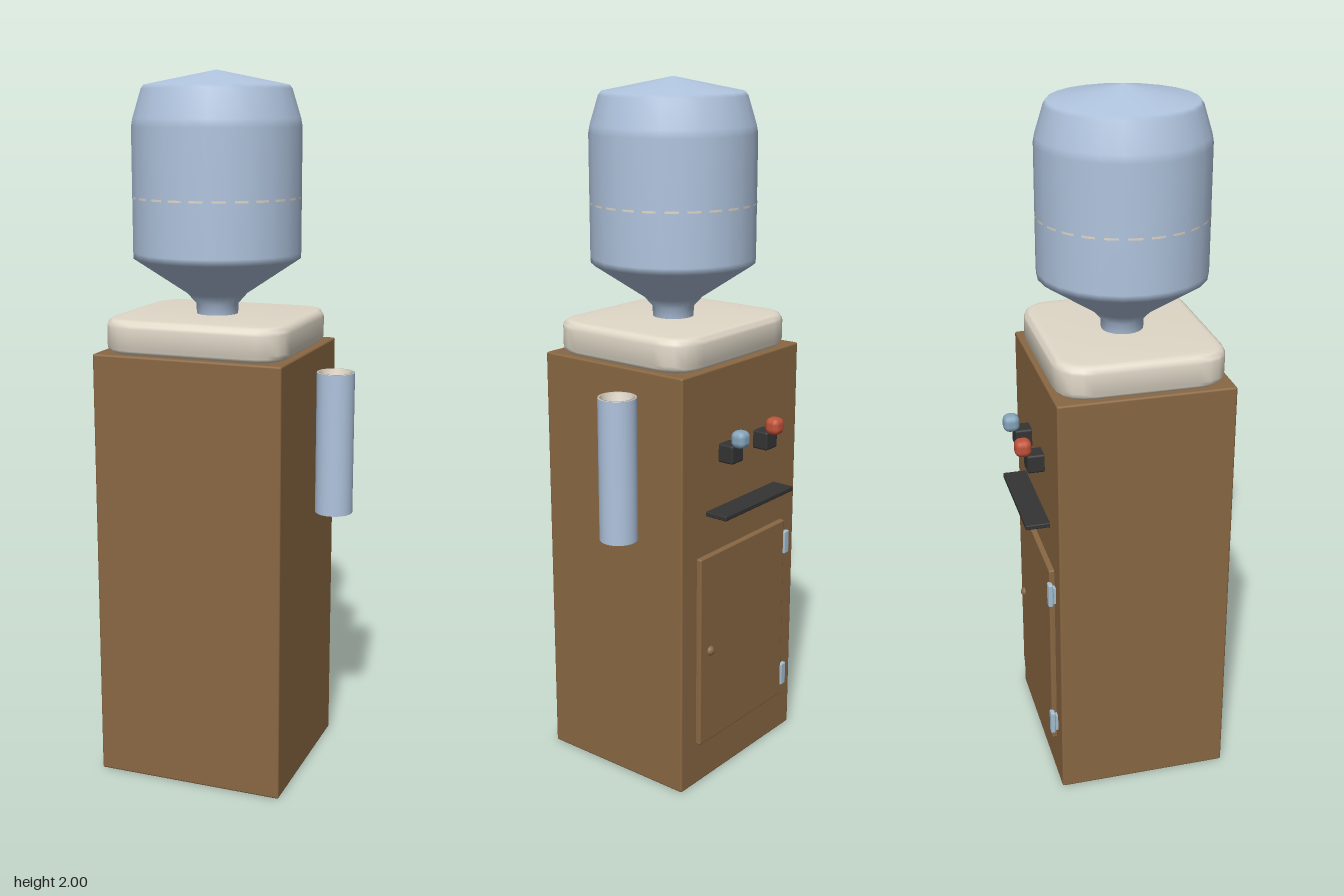
import * as THREE from 'three';
import { toCreasedNormals } from 'three/addons/utils/BufferGeometryUtils.js';
import { RoundedBoxGeometry } from 'three/addons/geometries/RoundedBoxGeometry.js';

const CX = -0.06, CZ = 0.038;      // centre of the cabinet
const BACK = -0.209;               // plane that carries the taps and door

export function createModel() {
  const root = new THREE.Group();
  const mat = (name, color, side = THREE.FrontSide) => {
    const m = new THREE.MeshStandardMaterial({ color, side });
    m.name = name;
    return m;
  };
  const wood = mat('wood brown', 0x8a6843);
  const cream = mat('cream plastic', 0xe0d8c8, THREE.DoubleSide);
  const water = mat('pale blue plastic', 0xb0c4de, THREE.DoubleSide);
  const dark = mat('dark plastic', 0x343434);
  const red = mat('hot red', 0xc0533a);
  const blue = mat('cold blue', 0x85a5bb);
  const steel = mat('hinge steel', 0xa6bfd0);

  const add = (name, geo, material, x, y, z) => {
    const mesh = new THREE.Mesh(geo, material);
    mesh.name = name;
    mesh.position.set(x, y, z);
    root.add(mesh);
    return mesh;
  };
  // smooth rounded block
  const block = (w, h, d, r) => new RoundedBoxGeometry(w, h, d, 2, r);
  const lathe = (pts, sides) =>
    new THREE.LatheGeometry(pts.map(([r, y]) => new THREE.Vector2(r, y)), sides);

  // Cabinet
  add('cabinet', block(0.548, 1.242, 0.494, 0.006), wood, CX, 0.621, CZ);

  // Lid: rounded rectangle with softened top and bottom edges
  const bevel = 0.022, hw = 0.264 - bevel, hd = 0.237 - bevel, r = 0.075;
  const outline = new THREE.Shape();
  outline.moveTo(-hw + r, -hd);
  outline.lineTo(hw - r, -hd);
  outline.quadraticCurveTo(hw, -hd, hw, -hd + r);
  outline.lineTo(hw, hd - r);
  outline.quadraticCurveTo(hw, hd, hw - r, hd);
  outline.lineTo(-hw + r, hd);
  outline.quadraticCurveTo(-hw, hd, -hw, hd - r);
  outline.lineTo(-hw, -hd + r);
  outline.quadraticCurveTo(-hw, -hd, -hw + r, -hd);
  const lid = new THREE.ExtrudeGeometry(outline, {
    depth: 0.096 - 2 * bevel, bevelEnabled: true, bevelSize: bevel,
    bevelThickness: bevel, bevelSegments: 4, curveSegments: 5,
  });
  lid.rotateX(-Math.PI / 2);
  add('lid', toCreasedNormals(lid, 0.9), cream, CX, 1.24 + bevel, CZ);

  // Upturned water bottle
  add('bottle', lathe([
    [0.058, 1.325], [0.06, 1.365], [0.085, 1.393], [0.234, 1.492], [0.235, 1.51],
    [0.235, 1.85], [0.231, 1.872], [0.207, 1.95], [0.2, 1.96], [0, 2.0],
  ], 24), water, CX, 0, CZ + 0.002);

  // Fine seam, turned half a side so it shows as short dashes
  const seam = add('bottleSeam',
    new THREE.CylinderGeometry(0.2355, 0.2355, 0.006, 24, 1, true), cream, CX, 1.66, CZ + 0.002);
  seam.rotation.y = Math.PI / 24;

  // Cup dispenser with nested cups
  const cupX = 0.27, cupZ = -0.03;
  add('cupTube', new THREE.CylinderGeometry(0.054, 0.054, 0.41, 28, 1, true),
    water, cupX, 0.97, cupZ);
  for (const y of [0.768, 0.92, 1.075]) {
    add('cup', lathe([
      [0, 0], [0.035, 0], [0.048, 0.095], [0.053, 0.096], [0.053, 0.1],
      [0.046, 0.1], [0.032, 0.008], [0, 0.008],
    ], 28), cream, cupX, y, cupZ);
  }

  // Hot and cold taps
  for (const [name, x, material] of [['hot', -0.142, red], ['cold', 0.023, blue]]) {
    add(name + 'TapBody', block(0.054, 0.054, 0.052, 0.006), dark, x, 0.997, BACK - 0.022);
    add(name + 'TapKnob', block(0.047, 0.05, 0.047, 0.018), material, x, 1.041, -0.264);
  }

  // Drip tray
  add('dripTray', block(0.33, 0.014, 0.072, 0.003), dark, CX, 0.832, BACK - 0.033);

  // Door with knob and two hinges
  add('door', block(0.412, 0.58, 0.02, 0.005), wood, CX, 0.42, BACK - 0.005);
  add('doorKnob', new THREE.SphereGeometry(0.015, 16, 12), wood, 0.1, 0.417, BACK - 0.012);
  for (const y of [0.197, 0.637]) {
    add('hinge', block(0.024, 0.072, 0.014, 0.004), steel, -0.272, y, BACK - 0.014);
    add('hingePlate', new THREE.BoxGeometry(0.02, 0.05, 0.008), steel, -0.274, y, BACK - 0.003);
  }
  return root;
}
